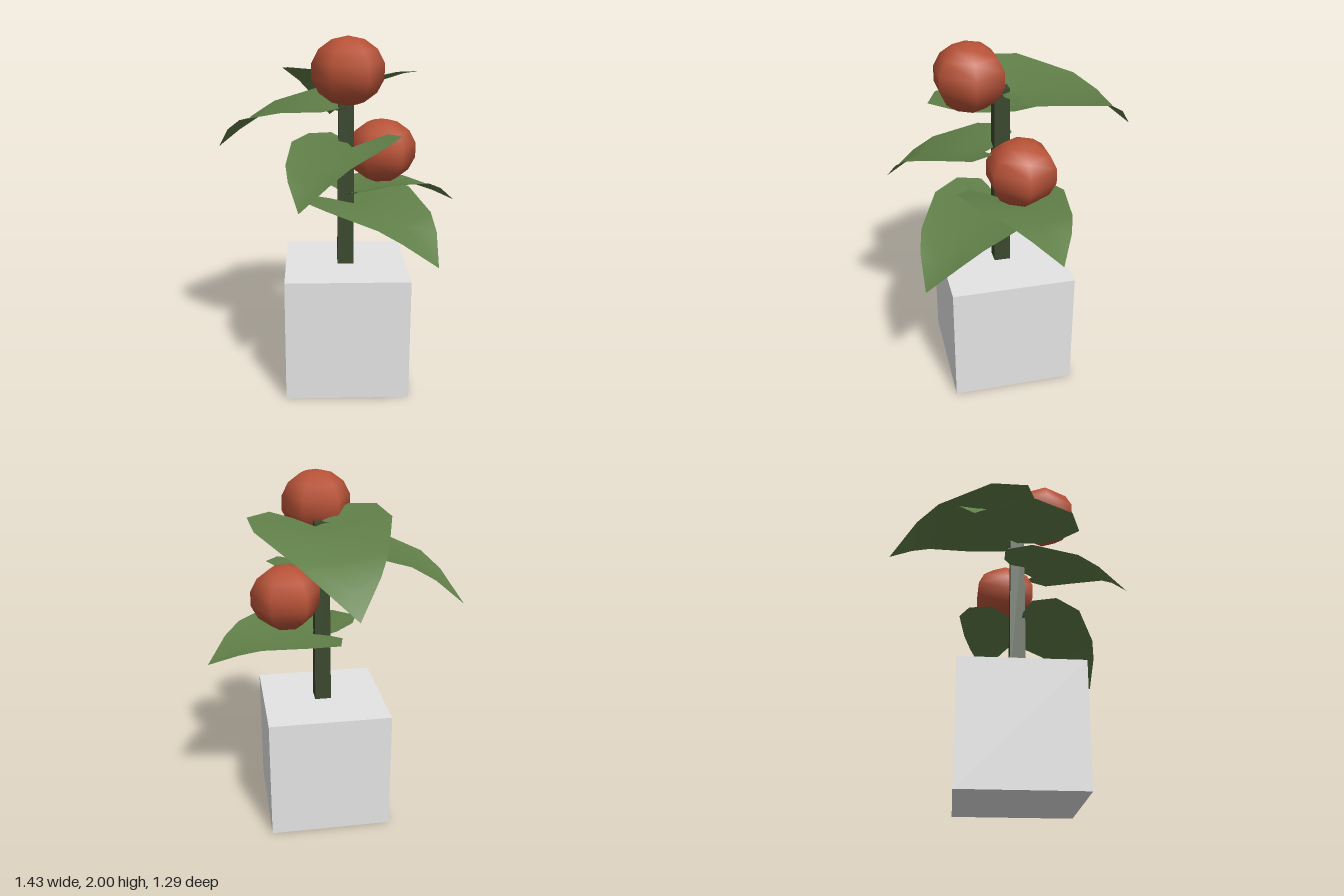
import * as THREE from 'three';

const mat = (name, color, extra = {}) => {
  const m = new THREE.MeshStandardMaterial({ color, ...extra });
  m.name = name;
  return m;
};

export function createModel() {
  const plant = new THREE.Group();
  plant.name = 'pottedPlant';
  const potGrey = mat('potGrey', 0xe4e4e4);
  const stemGreen = mat('stemGreen', 0x3a482d);
  const leafGreen = mat('leafGreen', 0x607f48, { side: THREE.DoubleSide });
  const fruitRed = mat('fruitRed', 0xb75237);

  const add = (name, geometry, material, x = 0, y = 0, z = 0) => {
    const mesh = new THREE.Mesh(geometry, material);
    mesh.name = name;
    mesh.position.set(x, y, z);
    plant.add(mesh);
    return mesh;
  };

  // Cube pot and square stem, turned by the same angle
  const turn = 0.506;
  add('pot', new THREE.BoxGeometry(0.692, 0.7, 0.692), potGrey, 0.065, 0.35, -0.015).rotation.y = turn;
  const stemGeo = new THREE.CylinderGeometry(0.058, 0.066, 1.08, 4).toNonIndexed();
  stemGeo.computeVertexNormals();
  add('stem', stemGeo, stemGreen, 0.065, 1.21, -0.015).rotation.y = turn + Math.PI / 4;

  // Six-sided fruits
  const fruitGeo = new THREE.SphereGeometry(0.198, 6, 7).rotateY(Math.PI / 2).scale(1, 0.92, 1);
  add('topFruit', fruitGeo, fruitRed, 0.148, 1.818, 0.13);
  add('lowerFruit', fruitGeo, fruitRed, 0.217, 1.347, -0.17);

  // Heart-shaped leaf, symmetric about a sunken midrib.
  // Each row from tip to notch: edge along, edge height, edge side, rib along, rib height
  const rows = [
    [0.63, -0.21, 0.155, 0.63, -0.25],
    [0.515, -0.125, 0.24, 0.49, -0.15],
    [0.22, -0.025, 0.37, 0.24, -0.085],
    [0, 0, 0.362, 0.12, -0.08],
    [-0.078, 0, 0.224, 0.06, -0.08],
    [-0.043, -0.04, 0.105, 0.04, -0.08],
  ];
  const tip = [0.77, -0.37, 0];
  const points = [...tip];
  const faces = [0, 1, 2, 0, 2, 3];
  rows.forEach(([x, y, side, ribX, ribY], i) => {
    points.push(x, y, side, ribX, ribY, 0, x, y, -side);
    if (i === 0) return;
    const b = 1 + i * 3, a = b - 3;
    for (const k of [0, 1]) {
      faces.push(a + k, b + k, a + k + 1, a + k + 1, b + k, b + k + 1);
    }
  });
  const leafGeo = new THREE.BufferGeometry();
  leafGeo.setAttribute('position', new THREE.Float32BufferAttribute(points, 3));
  // wind the faces so the upper side is the front
  const p = new THREE.Vector3(), q = new THREE.Vector3(), r = new THREE.Vector3();
  for (let i = 0; i < faces.length; i += 3) {
    const pos = leafGeo.attributes.position;
    p.fromBufferAttribute(pos, faces[i]);
    q.fromBufferAttribute(pos, faces[i + 1]).sub(p);
    r.fromBufferAttribute(pos, faces[i + 2]).sub(p);
    if (q.cross(r).y < 0) [faces[i + 1], faces[i + 2]] = [faces[i + 2], faces[i + 1]];
  }
  leafGeo.setIndex(faces);
  leafGeo.computeVertexNormals();
  // lay the line from base to tip along x
  leafGeo.rotateZ(-Math.atan2(tip[1], tip[0]));

  // Place a leaf between its base and tip, rolled about that line
  const restLength = Math.hypot(...tip);
  const addLeaf = (name, base, end, roll) => {
    const [dx, dy, dz] = end.map((v, i) => v - base[i]);
    const length = Math.hypot(dx, dy, dz);
    const leaf = add(name, leafGeo, leafGreen, ...base);
    leaf.rotation.set(roll, Math.atan2(-dz, dx), Math.asin(dy / length), 'YZX');
    leaf.scale.setScalar(length / restLength);
  };
  addLeaf('topBackLeaf', [0.1, 1.81, -0.04], [-0.37, 1.44, -0.65], 0.05);
  addLeaf('upperRightLeaf', [0.07, 1.665, 0.015], [-0.72, 1.33, 0.1], -0.09);
  addLeaf('frontLeaf', [0.133, 1.46, 0.02], [0.132, 1.17, 0.64], 0.065);
  addLeaf('lowerBackLeaf', [0.07, 1.157, -0.03], [0.55, 1.02, -0.485], -0.11);
  addLeaf('lowerLeftLeaf', [0.06, 1.13, -0.02], [0.715, 0.84, 0.2], 0.04);

  return plant;
}
